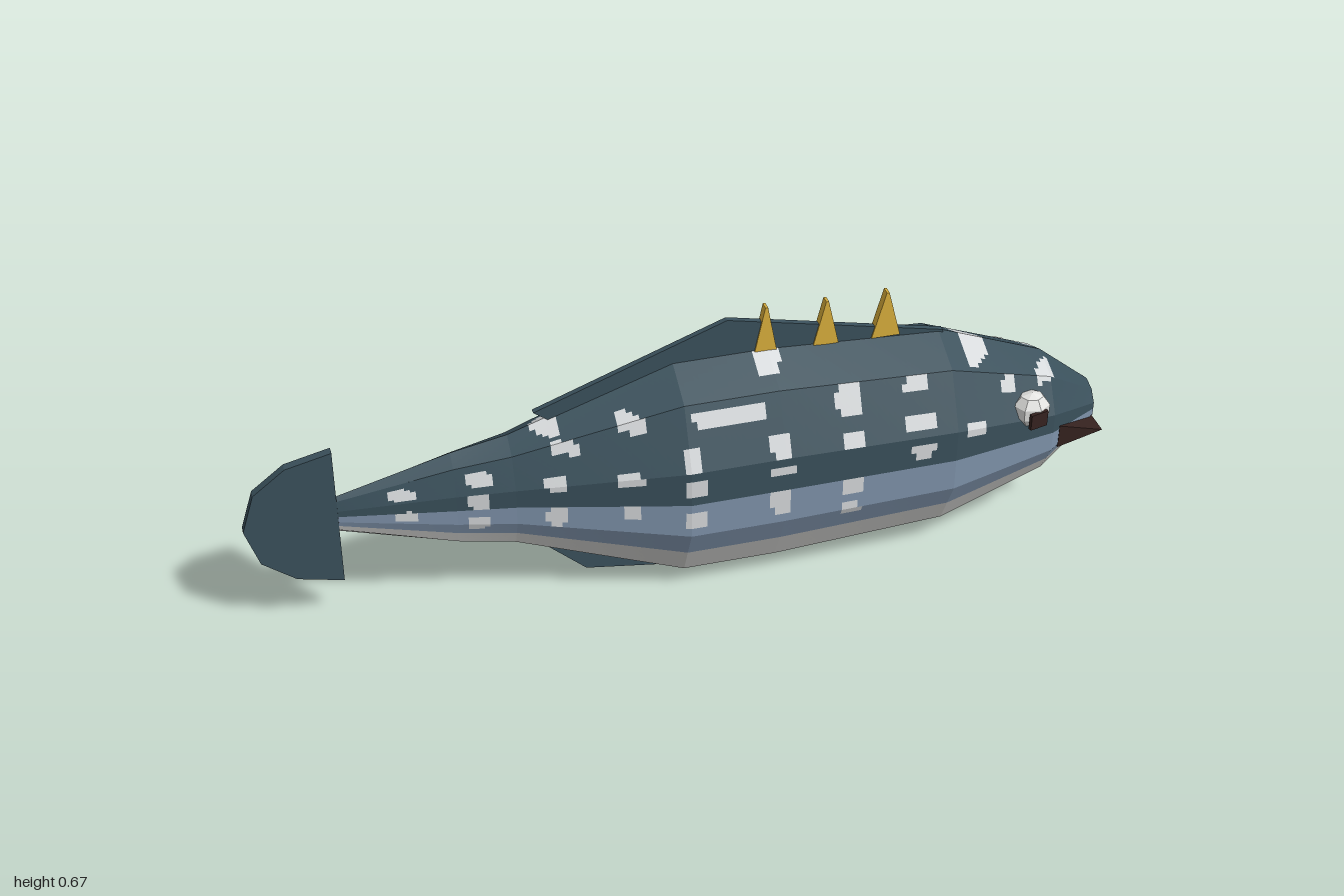
import * as THREE from 'three';
import { ConvexGeometry } from 'three/addons/geometries/ConvexGeometry.js';

const MID = 0.024; // z of the fish's own centre plane

// Body sections: x, top y, bottom y, z radius
const SECTIONS = [
  [-0.79, 0.34, 0.245, 0.014],
  [-0.53, 0.41, 0.163, 0.056],
  [-0.4, 0.435, 0.142, 0.082],
  [-0.02, 0.566, 0.004, 0.179],
  [0.2, 0.568, 0.004, 0.179],
  [0.61, 0.545, 0.033, 0.177],
  [0.87, 0.445, 0.127, 0.125],
  [1.0, 0.34, 0.234, 0.055],
];
const SIDES = 10, PER_SIDE = 8, AROUND = SIDES * PER_SIDE;

// Pale spots on each flank: x, y, width, height
const SPOTS = [
  [-0.65, 0.335, 0.06, 0.025], [-0.64, 0.28, 0.05, 0.025],
  [-0.48, 0.362, 0.06, 0.03], [-0.48, 0.31, 0.05, 0.04], [-0.48, 0.25, 0.05, 0.035],
  [-0.32, 0.47, 0.055, 0.06], [-0.28, 0.425, 0.06, 0.03], [-0.31, 0.35, 0.05, 0.035], [-0.31, 0.26, 0.05, 0.045],
  [-0.14, 0.475, 0.06, 0.035], [-0.15, 0.355, 0.055, 0.03], [-0.15, 0.265, 0.045, 0.03],
  [-0.01, 0.395, 0.04, 0.05], [-0.01, 0.33, 0.045, 0.05], [-0.01, 0.24, 0.045, 0.05],
  [0.08, 0.48, 0.17, 0.035], [0.19, 0.57, 0.06, 0.07], [0.19, 0.4, 0.055, 0.04],
  [0.19, 0.335, 0.06, 0.03], [0.19, 0.255, 0.05, 0.05],
  [0.36, 0.47, 0.06, 0.065], [0.36, 0.385, 0.055, 0.03], [0.36, 0.265, 0.05, 0.05], [0.36, 0.2, 0.05, 0.03],
  [0.52, 0.48, 0.06, 0.03], [0.52, 0.4, 0.08, 0.03], [0.53, 0.335, 0.055, 0.035],
  [0.66, 0.36, 0.06, 0.03], [0.69, 0.52, 0.06, 0.08], [0.75, 0.43, 0.035, 0.035], [0.855, 0.42, 0.05, 0.03],
];

// Point on a section; t counts sides from the back ridge towards +z
function ringPoint([x, top, bottom, rz], t) {
  const k = Math.floor(t), f = t - k;
  const corner = (i) => {
    const a = (i * 2 * Math.PI) / SIDES;
    return new THREE.Vector3(x, (top + bottom) / 2 + ((top - bottom) / 2) * Math.cos(a), MID + rz * Math.sin(a));
  };
  return corner(k).lerp(corner(k + 1), f);
}

// 0 back, 1 flank, 2 belly, 3 spot
function bandAt(t) {
  const d = Math.min(t, SIDES - t);
  return d < 2.5 ? 0 : d < 3.5 ? 1 : 2;
}
function colourAt(x, y, t) {
  const inSpot = SPOTS.some(([sx, sy, w, h]) => ((x - sx) / w * 2) ** 4 + ((y - sy) / h * 2) ** 4 < 1);
  return inSpot ? 3 : bandAt(t);
}

function bodyGeometry() {
  const buckets = [[], [], [], []];
  const quad = (m, a, b, c, d) => {
    for (const p of [a, b, c, a, c, d]) buckets[m].push(p.x, p.y, p.z);
  };
  // Skin, cut into small cells so that spots and bands are real faces
  for (let s = 0; s < SECTIONS.length - 1; s++) {
    const A = SECTIONS[s], B = SECTIONS[s + 1];
    const n = Math.ceil((B[0] - A[0]) / 0.0125);
    const mix = (f) => A.map((v, i) => v + (B[i] - v) * f);
    for (let i = 0; i < n; i++) {
      const r0 = mix(i / n), r1 = mix((i + 1) / n);
      for (let j = 0; j < AROUND; j++) {
        const t0 = j / PER_SIDE, t1 = (j + 1) / PER_SIDE;
        const a = ringPoint(r0, t0), b = ringPoint(r0, t1), c = ringPoint(r1, t1), d = ringPoint(r1, t0);
        quad(colourAt((a.x + c.x) / 2, (a.y + c.y) / 2, (t0 + t1) / 2), a, b, c, d);
      }
    }
  }
  // End caps in horizontal strips
  const nose = SECTIONS[SECTIONS.length - 1], stub = SECTIONS[0];
  for (let j = 0; j < AROUND / 2; j++) {
    const t0 = j / PER_SIDE, t1 = (j + 1) / PER_SIDE, m = bandAt((t0 + t1) / 2);
    const strip = (r) => [t0, t1, SIDES - t1, SIDES - t0].map((t) => ringPoint(r, t));
    quad(m, ...strip(nose));
    quad(m, ...strip(stub).reverse());
  }
  const geo = new THREE.BufferGeometry();
  let start = 0;
  buckets.forEach((b, m) => {
    geo.addGroup(start, b.length / 3, m);
    start += b.length / 3;
  });
  geo.setAttribute('position', new THREE.Float32BufferAttribute(buckets.flat(), 3));
  geo.computeVertexNormals();
  return geo;
}

// Flat outline in x, y given a thickness in z, centred on z = 0
function plate(points, thickness) {
  const shape = new THREE.Shape(points.map(([x, y]) => new THREE.Vector2(x, y)));
  return new THREE.ExtrudeGeometry(shape, { depth: thickness, bevelEnabled: false }).translate(0, 0, -thickness / 2);
}

export function createModel() {
  const material = (name, color, flatShading = false) => {
    const m = new THREE.MeshStandardMaterial({ color, flatShading });
    m.name = name;
    return m;
  };
  const back = material('dark teal', 0x3a505b);
  const flank = material('blue grey', 0x7e92aa);
  const belly = material('pale grey belly', 0xc4c4c2);
  const spot = material('pale spots', 0xd6d9db);
  const spine = material('gold', 0xd9ae3c);
  const dark = material('dark brown', 0x35221f);
  const eyeWhite = material('eye white', 0xe4e4e2, true);

  const fish = new THREE.Group();
  fish.name = 'fish';
  const add = (name, geo, mat, x = 0, y = 0, z = MID) => {
    const mesh = new THREE.Mesh(geo, mat);
    mesh.name = name;
    mesh.position.set(x, y, z);
    fish.add(mesh);
    return mesh;
  };

  add('body', bodyGeometry(), [back, flank, belly, spot], 0, 0, 0);

  // Fins on the centre plane
  add('dorsalFin', plate([[-0.34, 0.487], [-0.29, 0.45], [0.1, 0.5], [0.62, 0.5], [0.62, 0.545], [0.105, 0.655]], 0.014), back);
  add('analFin', plate([[-0.36, 0.16], [-0.34, 0.13], [-0.23, 0.03], [-0.04, 0.002], [0, 0.1]], 0.02), back);
  add('tailFin', plate([[-0.79, 0.465], [-0.895, 0.44], [-0.97, 0.382], [-1, 0.288],
    [-0.97, 0.195], [-0.895, 0.137], [-0.79, 0.112]], 0.022), back);

  // Gold spines along the back: x, base y, tip y, half width
  for (const [x, base, tip, w] of [[0.195, 0.56, 0.675, 0.026], [0.337, 0.555, 0.668, 0.03], [0.48, 0.552, 0.668, 0.034]]) {
    add('spine', plate([[x - w, base], [x + w, base], [x + 0.003, tip], [x - 0.003, tip]], 0.021), spine);
  }

  // Mouth wedge running across the snout
  add('mouth', plate([[0.89, 0.235], [1, 0.265], [0.89, 0.295]], 0.22), dark);

  // Eyes
  for (const side of [1, -1]) {
    const eye = add('eye', new THREE.SphereGeometry(0.046, 7, 5), eyeWhite, 0.807, 0.367, MID + side * 0.118);
    eye.scale.set(1, 0.95, 0.85);
    const pupil = add('pupil', new THREE.BoxGeometry(0.046, 0.04, 0.009), dark, 0.812, 0.357, MID + side * 0.154);
    pupil.rotation.y = side * 0.25;
  }

  // Single small fin on the far flank
  add('sideFin', new ConvexGeometry([[0.5, 0.235, -0.135], [0.36, 0.3, -0.155], [0.38, 0.23, -0.195],
    [0.37, 0.218, -0.185], [0.34, 0.215, -0.14]].map((p) => new THREE.Vector3(...p))), back, 0, 0, 0);

  return fish;
}
